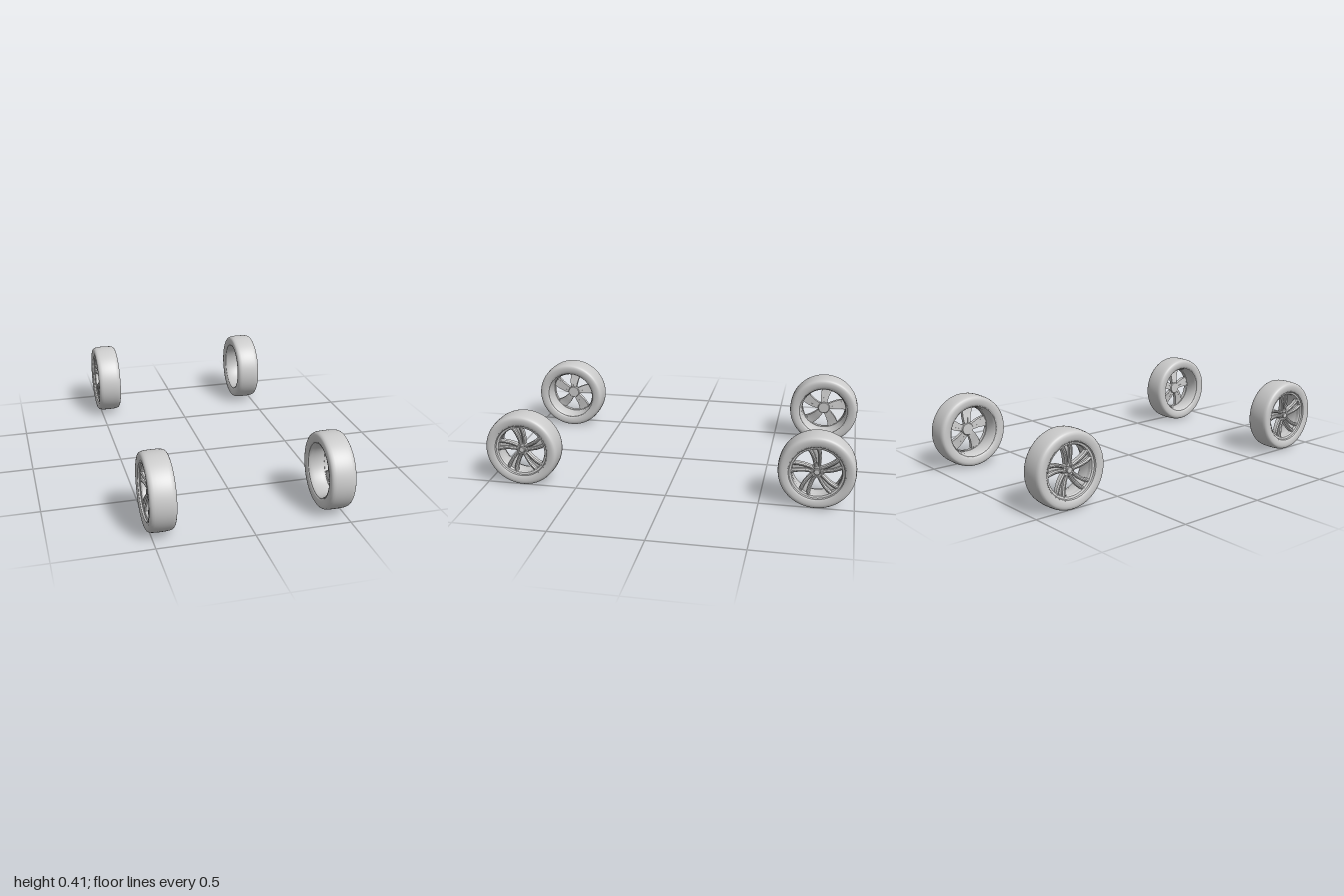
import * as THREE from 'three';
import { toCreasedNormals } from 'three/addons/utils/BufferGeometryUtils.js';

const SPOKES = 5;
const mat = new THREE.MeshStandardMaterial({ color: 0xcccccc });
const thin = new THREE.MeshStandardMaterial({ color: 0xcccccc, side: THREE.DoubleSide });

function add(parent, name, geometry, material = mat) {
  const mesh = new THREE.Mesh(geometry, material);
  mesh.name = name;
  parent.add(mesh);
  return mesh;
}

// Turned part around the wheel axle (local z), points are [radius, z]
function turned(points, segments = 72) {
  const g = new THREE.LatheGeometry(points.map(p => new THREE.Vector2(...p)), segments);
  return g.rotateX(Math.PI / 2);
}

// Bar running from hub to rim: swept sideways, tapered and bevelled by a rule
function bar({ r0, r1, s0, s1, w0, w1, front0, front1, depth0, depth1, swirl }) {
  const g = new THREE.BoxGeometry(1, 1, 1, 3, 10, 1);
  const p = g.attributes.position;
  for (let i = 0; i < p.count; i++) {
    const u = p.getX(i), t = p.getY(i) + 0.5, back = p.getZ(i) < 0;
    const r = THREE.MathUtils.lerp(r0, r1, t);
    const w = THREE.MathUtils.lerp(w0, w1, t);
    const side = THREE.MathUtils.lerp(s0, s1, t) + u * w;
    const edge = !back && Math.abs(u) > 0.4 ? 0.005 : 0;
    const crown = THREE.MathUtils.lerp(front0, front1, t * t * (3 - 2 * t));
    const z = back ? crown - THREE.MathUtils.lerp(depth0, depth1, t) : crown - edge;
    const a = Math.PI / 2 + swirl * t * t;
    p.setXYZ(i, r * Math.cos(a) + side * Math.sin(a), r * Math.sin(a) - side * Math.cos(a), z);
  }
  return toCreasedNormals(g, 0.5);
}

function createWheel() {
  const wheel = new THREE.Group();

  // Tyre with full sidewalls and softly rounded shoulders
  const half = [
    [0.146, 0.056], [0.148, 0.061], [0.154, 0.0645], [0.165, 0.067], [0.177, 0.068],
    [0.187, 0.0665], [0.194, 0.062], [0.199, 0.054], [0.2015, 0.042], [0.203, 0.022], [0.2035, 0],
  ];
  const tyre = [...half.map(([r, z]) => [r, -z]), ...half.slice(0, -1).reverse()];
  add(wheel, 'tyre', turned(tyre, 96));

  // Open barrel of the rim with a rolled lip on both edges
  add(wheel, 'rim', toCreasedNormals(turned([
    [0.146, 0.052], [0.151, 0.06], [0.15, 0.063], [0.146, 0.062], [0.143, 0.056],
    [0.141, 0.046], [0.136, 0.04], [0.132, 0.025], [0.13, 0.005], [0.132, -0.035],
    [0.137, -0.045], [0.139, -0.054], [0.144, -0.06], [0.149, -0.061], [0.15, -0.057], [0.146, -0.05],
  ]), 0.6), thin);

  // Ring that the spokes run into
  add(wheel, 'spokeRing', toCreasedNormals(turned([
    [0.141, 0.022], [0.129, 0.024], [0.128, 0.042], [0.132, 0.05], [0.143, 0.054],
  ]), 0.5), thin);

  // Hub, stepped centre cap and rear mounting pad
  add(wheel, 'hub', toCreasedNormals(turned([
    [0, 0.004], [0.032, 0.004], [0.036, 0.01], [0.036, 0.03], [0.032, 0.036],
    [0.021, 0.037], [0.019, 0.033], [0.017, 0.033], [0.017, 0.042], [0.014, 0.045], [0, 0.046],
  ], 40), 0.5));

  // Twin spokes joined by a recessed web, swept around the hub
  const swirl = 0.16;
  const parts = [
    ['leadingSpoke', bar({ r0: 0.024, r1: 0.136, s0: -0.009, s1: -0.026, w0: 0.015, w1: 0.022,
      front0: 0.038, front1: 0.052, depth0: 0.03, depth1: 0.024, swirl })],
    ['trailingSpoke', bar({ r0: 0.024, r1: 0.136, s0: 0.009, s1: 0.022, w0: 0.015, w1: 0.018,
      front0: 0.038, front1: 0.052, depth0: 0.03, depth1: 0.024, swirl })],
    ['spokeWeb', bar({ r0: 0.024, r1: 0.134, s0: 0, s1: -0.002, w0: 0.014, w1: 0.042,
      front0: 0.022, front1: 0.036, depth0: 0.012, depth1: 0.01, swirl })],
  ];
  const nut = new THREE.CylinderGeometry(0.0035, 0.004, 0.008, 6).rotateX(Math.PI / 2);
  for (let i = 0; i < SPOKES; i++) {
    const spoke = new THREE.Group();
    spoke.name = 'spoke';
    parts.forEach(([name, geometry]) => add(spoke, name, geometry));
    add(spoke, 'wheelNut', nut).position.set(
      0.0265 * Math.sin(Math.PI / SPOKES), 0.0265 * Math.cos(Math.PI / SPOKES), 0.038);
    spoke.rotation.z = i * Math.PI * 2 / SPOKES;
    wheel.add(spoke);
  }
  return wheel;
}

export function createModel() {
  const model = new THREE.Group();
  model.name = 'wheelSet';
  const wheel = createWheel();
  for (const side of [1, -1]) {
    for (const end of [1, -1]) {
      const w = wheel.clone();
      w.name = (end > 0 ? 'front' : 'rear') + (side > 0 ? 'Left' : 'Right') + 'Wheel';
      w.position.set(side * 0.455, 0.2045, end * 0.7965);
      w.rotation.y = side * Math.PI / 2;
      model.add(w);
    }
  }
  return model;
}
